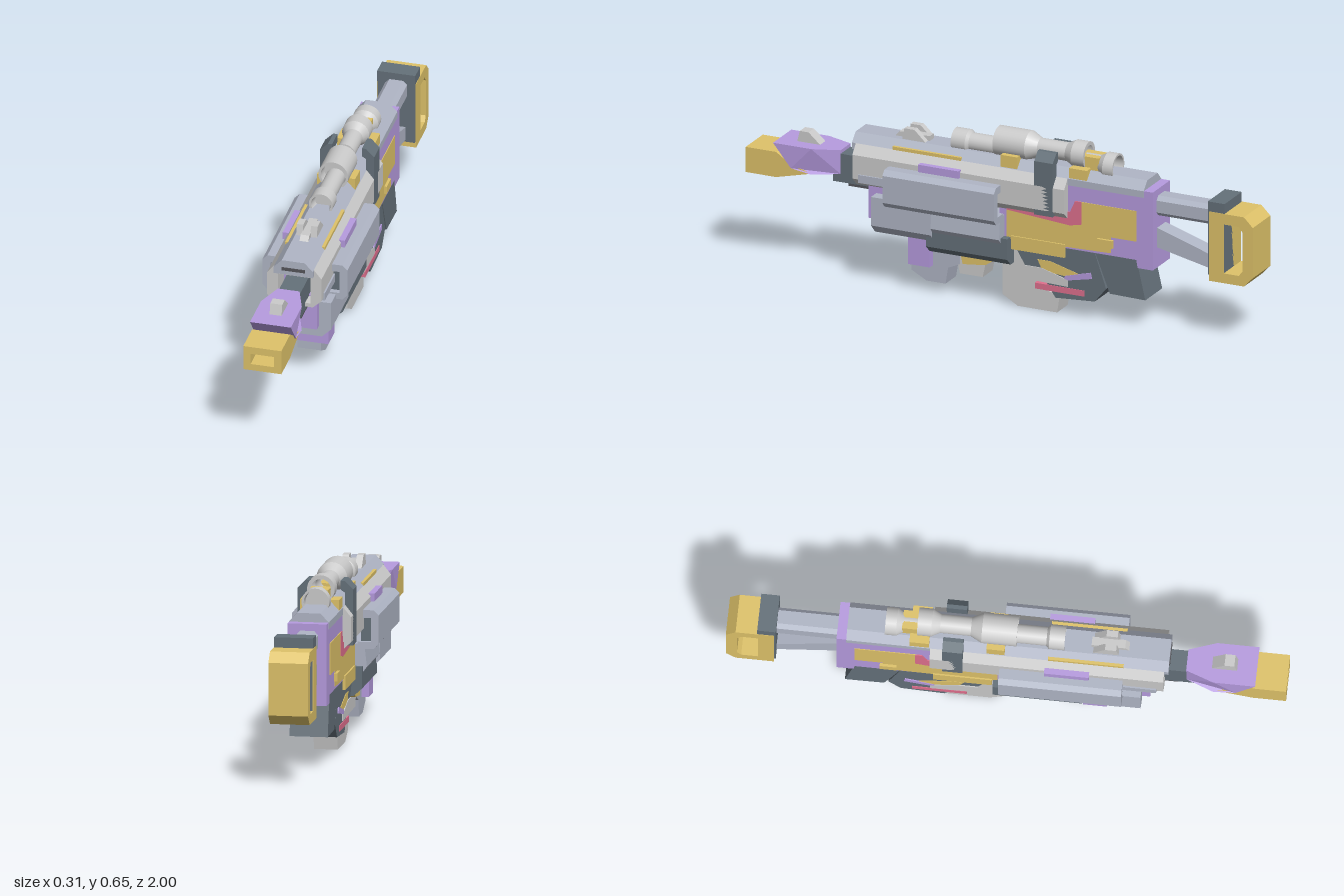
import * as THREE from 'three';

const mat = (color) => new THREE.MeshStandardMaterial({ color, flatShading: true });
const GREY = mat(0xcccccc), STEEL = mat(0xb0b6c6), DARK = mat(0x65717a), BLACK = mat(0x55555a);
const PURPLE = mat(0xb79ce0), YELLOW = mat(0xdfc36a), PINK = mat(0xe0708e);
const SMOOTH = new THREE.MeshStandardMaterial({ color: 0xcccccc, side: THREE.DoubleSide });

const toShape = (pts, holes = []) => {
  const s = new THREE.Shape(pts.map((p) => new THREE.Vector2(...p)));
  for (const h of holes) s.holes.push(new THREE.Path(h.map((p) => new THREE.Vector2(...p))));
  return s;
};
const rect = (a0, a1, b0, b1) => [[a0, b0], [a1, b0], [a1, b1], [a0, b1]];
const bothSides = (half) => [...half, ...half.map(([x, y]) => [-x, y]).reverse()];

export function createModel() {
  const model = new THREE.Group();
  const add = (name, geo, material) => {
    const m = new THREE.Mesh(geo, material);
    m.name = name;
    model.add(m);
    return m;
  };
  // Side outline of [z, y] points, spanning x0..x1
  const side = (name, material, pts, x0, x1, holes) => {
    const g = new THREE.ExtrudeGeometry(toShape(pts, holes), { depth: x1 - x0, bevelEnabled: false });
    g.rotateY(-Math.PI / 2);
    g.translate(x1, 0, 0);
    return add(name, g, material);
  };
  const slab = (name, material, pts, w, holes) => side(name, material, pts, -w, w, holes);
  const block = (name, material, w, y0, y1, z0, z1) => slab(name, material, rect(z0, z1, y0, y1), w);
  // Front outline of [x, y] points, spanning z0..z1
  const prism = (name, material, pts, z0, z1, holes) => {
    const g = new THREE.ExtrudeGeometry(toShape(pts, holes), { depth: z1 - z0, bevelEnabled: false });
    g.translate(0, 0, z0);
    return add(name, g, material);
  };
  // Box repeated on both flanks
  const pair = (name, material, x0, x1, y0, y1, z0, z1) => {
    side(name + 'Left', material, rect(z0, z1, y0, y1), x0, x1);
    side(name + 'Right', material, rect(z0, z1, y0, y1), -x1, -x0);
  };

  // Muzzle with a slot, and its sloping underside
  prism('muzzle', YELLOW, rect(-0.07, 0.07, 0.345, 0.44), 0.88, 1, [rect(-0.043, 0.043, 0.37, 0.412)]);
  block('muzzleSlotBack', BLACK, 0.05, 0.36, 0.42, 0.87, 0.9);
  slab('muzzleNeck', YELLOW, [[0.88, 0.345], [0.88, 0.44], [0.82, 0.4], [0.74, 0.38]], 0.07);

  // Tapered muzzle shroud: narrow towards the rear
  const shroud = side('muzzleShroud', PURPLE,
    [[0.64, 0.385], [0.74, 0.378], [0.82, 0.39], [0.89, 0.475], [0.74, 0.475], [0.64, 0.475]], -0.075, 0.075);
  const sp = shroud.geometry.attributes.position;
  for (let i = 0; i < sp.count; i++) if (sp.getZ(i) < 0.65) sp.setX(i, sp.getX(i) * 0.53);
  shroud.geometry.computeVertexNormals();
  slab('frontSight', GREY, [[0.73, 0.475], [0.82, 0.475], [0.81, 0.515], [0.775, 0.515]], 0.022);

  // Barrel
  block('barrel', DARK, 0.04, 0.355, 0.462, 0.3, 0.67);
  block('barrelUnderside', BLACK, 0.038, 0.345, 0.375, 0.5, 0.61);

  // Upper housing, hollow at the front around the barrel
  prism('upperHousing', GREY, bothSides([[0.068, 0.37], [0.1, 0.4], [0.1, 0.49], [0.072, 0.525]]), -0.27, 0.565,
    [rect(-0.06, 0.06, 0.385, 0.49)]);
  block('housingCore', PURPLE, 0.07, 0.375, 0.5, -0.25, 0.48);
  prism('topRail', STEEL, bothSides([[0.072, 0.5], [0.072, 0.525], [0.042, 0.557]]), -0.57, 0.58);
  block('topRailSlot', BLACK, 0.043, 0.517, 0.529, 0.57, 0.583);
  pair('railInlay', YELLOW, 0.055, 0.073, 0.524, 0.536, 0.15, 0.42);
  pair('housingStrip', PURPLE, 0.09, 0.114, 0.472, 0.5, 0.14, 0.3);
  pair('housingLedge', STEEL, 0.09, 0.106, 0.39, 0.42, 0.02, 0.54);

  // Sight posts on the rail
  for (const x of [-0.026, 0.026])
    side('railSightPost', GREY, [[0.3, 0.55], [0.4, 0.55], [0.39, 0.598], [0.35, 0.598]], x - 0.012, x + 0.012);
  slab('railSightBase', GREY, [[0.3, 0.55], [0.44, 0.55], [0.42, 0.575], [0.3, 0.575]], 0.016);

  // Side cowls: channels open towards the body
  for (const [s, n] of [[1, 'Left'], [-1, 'Right']]) {
    const c = [[0.08, 0.33], [0.138, 0.33], [0.156, 0.35], [0.156, 0.452], [0.138, 0.47], [0.08, 0.47],
      [0.08, 0.442], [0.128, 0.442], [0.128, 0.355], [0.08, 0.355]];
    prism('sideCowl' + n, STEEL, c.map(([x, y]) => [x * s, y]), -0.02, 0.42);
  }
  pair('cowlCore', DARK, 0.09, 0.129, 0.352, 0.444, 0, 0.4);

  // Fore-end
  prism('foreEnd', STEEL, bothSides([[0.08, 0.206], [0.114, 0.24], [0.114, 0.348]]), 0.25, 0.485);
  prism('foreEndRear', STEEL, bothSides([[0.095, 0.24], [0.114, 0.265], [0.105, 0.348]]), -0.02, 0.25);
  block('foreEndNose', PURPLE, 0.07, 0.25, 0.39, 0.4, 0.515);
  prism('foreEndGuard', DARK, bothSides([[0.07, 0.163], [0.1, 0.19], [0.1, 0.268]]), -0.045, 0.275);

  // Hand stop and small parts under the fore-end
  block('handStopFrame', PURPLE, 0.07, 0.1, 0.215, 0.275, 0.36);
  slab('handStop', STEEL, [[0.36, 0.22], [0.36, 0.07], [0.3, 0.038], [0.225, 0.038], [0.215, 0.1], [0.17, 0.12], [0.17, 0.22]], 0.043);
  slab('underLug', GREY, [[0.19, 0.18], [0.17, 0.085], [0.08, 0.085], [0.06, 0.18]], 0.04);
  slab('underPanel', YELLOW, [[0.16, 0.18], [0.15, 0.13], [0.06, 0.14], [0.0, 0.18]], 0.06);

  // Magazine
  slab('magazine', GREY, [[0, 0.25], [0, 0.035], [-0.06, 0], [-0.215, 0], [-0.225, 0.065], [-0.14, 0.085], [-0.13, 0.25]], 0.043);

  // Receiver
  slab('receiver', PURPLE, [[0, 0.26], [0, 0.525], [-0.605, 0.525], [-0.605, 0.23], [-0.545, 0.23], [-0.54, 0.26]], 0.07);
  const panel = [[-0.03, 0.26], [-0.03, 0.37], [-0.32, 0.37], [-0.32, 0.445], [-0.54, 0.445], [-0.54, 0.33], [-0.44, 0.33], [-0.44, 0.27]];
  slab('receiverPanel', YELLOW, panel, 0.0725);
  slab('receiverStripe', PINK, [[-0.03, 0.37], [-0.03, 0.4], [-0.28, 0.4], [-0.3, 0.445], [-0.325, 0.445], [-0.325, 0.36], [-0.28, 0.35]], 0.074);
  block('receiverFoot', YELLOW, 0.078, 0.225, 0.275, -0.26, -0.05);
  pair('receiverLug', YELLOW, 0.06, 0.082, 0.29, 0.32, -0.45, -0.39);

  // Clamps over the receiver
  const clamp = [[0.07, 0.38], [0.1, 0.38], [0.1, 0.582], [0.07, 0.612], [0.055, 0.612], [0.055, 0.58], [0.07, 0.57]];
  for (const s of [1, -1]) prism('clamp' + (s > 0 ? 'Left' : 'Right'), DARK, clamp.map(([x, y]) => [x * s, y]), -0.225, -0.152);

  // Grip and trigger area
  slab('grip', DARK, [[-0.04, 0.27], [-0.1, 0.17], [-0.17, 0.14], [-0.22, 0.065], [-0.375, 0.075], [-0.42, 0.13], [-0.37, 0.275]], 0.068);
  slab('gripRear', DARK, [[-0.37, 0.285], [-0.38, 0.255], [-0.435, 0.115], [-0.575, 0.112], [-0.535, 0.285]], 0.069);
  slab('gripStrip', PINK, rect(-0.335, -0.14, 0.088, 0.11), 0.0705);
  slab('gripPlate', GREY, [[-0.11, 0.12], [-0.1, 0.17], [-0.17, 0.17], [-0.27, 0.14], [-0.27, 0.115]], 0.072);
  slab('gripAccent', PURPLE, [[-0.25, 0.135], [-0.26, 0.155], [-0.36, 0.182], [-0.365, 0.16]], 0.072);
  slab('triggerPanel', YELLOW, [[-0.15, 0.2], [-0.2, 0.2], [-0.31, 0.17], [-0.3, 0.15], [-0.17, 0.16]], 0.07);

  // Stock struts and shoulder frame
  prism('upperStrut', STEEL, bothSides([[0.025, 0.425], [0.04, 0.44], [0.04, 0.485], [0.025, 0.5]]), -0.84, -0.59);
  slab('lowerStrut', STEEL, [[-0.59, 0.31], [-0.59, 0.385], [-0.84, 0.305], [-0.84, 0.255]], 0.035);
  block('stockCap', DARK, 0.07, 0.485, 0.527, -0.888, -0.822);
  block('stockPlate', DARK, 0.0685, 0.25, 0.49, -0.885, -0.822);
  slab('shoulderFrame', YELLOW,
    [[-0.828, 0.228], [-0.828, 0.49], [-0.965, 0.49], [-1, 0.455], [-1, 0.265], [-0.965, 0.228]], 0.0715,
    [[[-0.885, 0.265], [-0.885, 0.45], [-0.945, 0.45], [-0.96, 0.43], [-0.96, 0.285], [-0.945, 0.265]]]);

  // Scope: turned tubes along z, each from [radius, z] pairs
  const tube = (name, pts, y) => {
    const g = new THREE.LatheGeometry(pts.map(([r, z]) => new THREE.Vector2(r, z)), 24);
    g.rotateX(Math.PI / 2);
    // Split the corners so each ring has a crisp edge
    const m = add(name, g, SMOOTH);
    m.position.y = y;
  };
  const rings = (list) => list.flatMap(([r, z]) => [[r, z], [r, z]]);
  tube('scopeBody', rings([[0.036, -0.32], [0.05, -0.32], [0.05, -0.27], [0.034, -0.24], [0.034, -0.13], [0.055, -0.09],
    [0.055, 0.035], [0.046, 0.035], [0.042, 0], [0, 0]]), 0.598);
  tube('scopeEyepiece', rings([[0, -0.4], [0.04, -0.4], [0.042, -0.435], [0.05, -0.435], [0.05, -0.395], [0.035, -0.37], [0.035, -0.31]]), 0.571);
  tube('scopeFrontTube', rings([[0.034, 0], [0.034, 0.14], [0.044, 0.15], [0.044, 0.205], [0.036, 0.205], [0.03, 0.17], [0, 0.17]]), 0.575);
  block('scopeMountFront', YELLOW, 0.07, 0.5, 0.572, -0.07, -0.005);
  block('scopeMountRear', YELLOW, 0.07, 0.5, 0.565, -0.345, -0.275);
  block('scopeMountPost', YELLOW, 0.035, 0.55, 0.605, -0.375, -0.3);

  return model;
}
